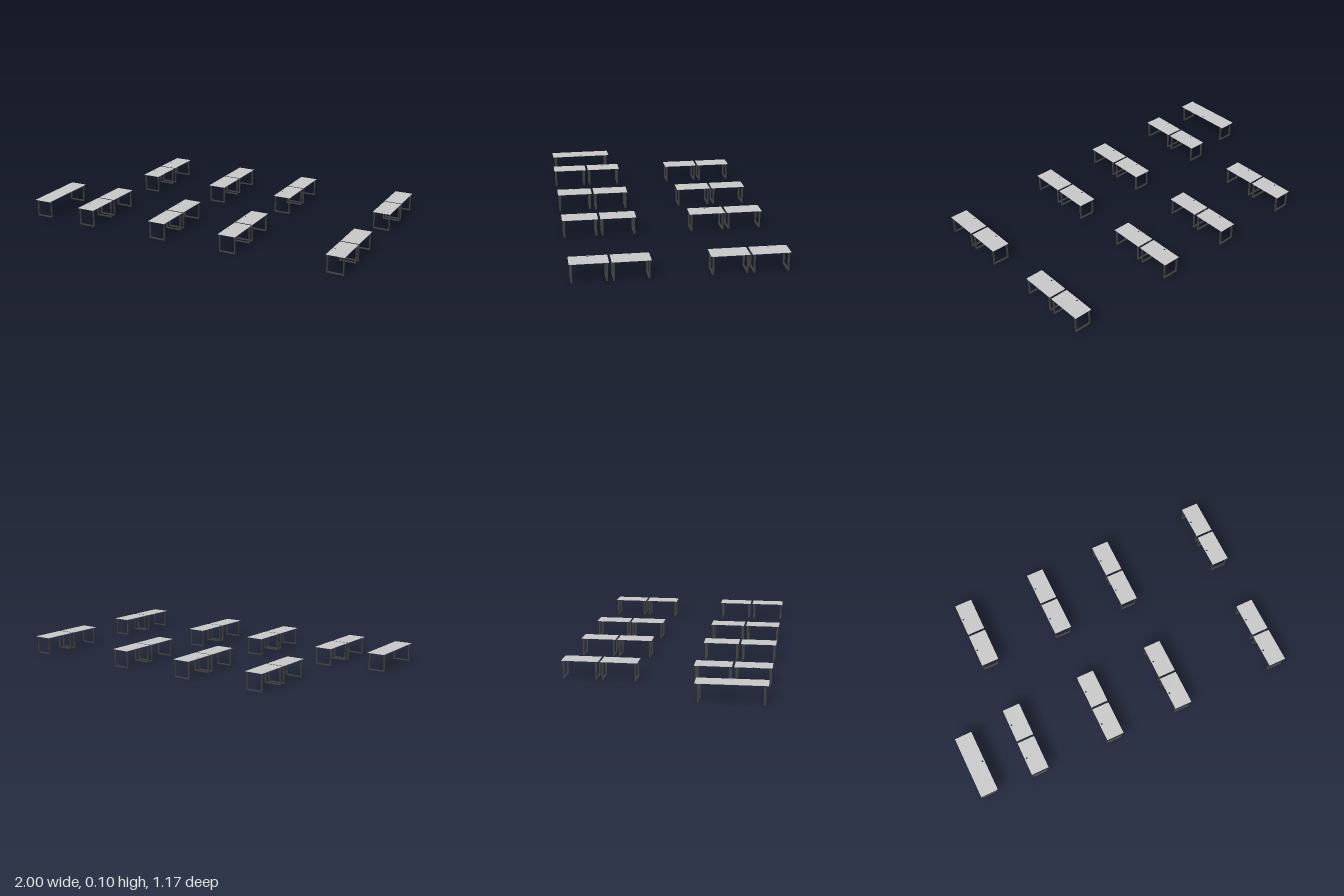
import * as THREE from 'three';

const HEIGHT = 0.105, TOP = 0.002;

const topGrey = new THREE.MeshStandardMaterial({ color: 0xc8c8c8 });
topGrey.name = 'tabletop grey';
const frameGrey = new THREE.MeshStandardMaterial({ color: 0x404040 });
frameGrey.name = 'frame dark grey';

// Thin slab with a cable hole near its -x edge
function tabletop(width, length) {
  const w = width / 2, l = length / 2;
  const shape = new THREE.Shape();
  shape.moveTo(-w, -l).lineTo(w, -l).lineTo(w, l).lineTo(-w, l).closePath();
  const hole = new THREE.Path();
  hole.absarc(-w + 0.012, 0, 0.005, 0, Math.PI * 2, true);
  shape.holes.push(hole);
  const geometry = new THREE.ExtrudeGeometry(shape, { depth: TOP, bevelEnabled: false, curveSegments: 12 });
  geometry.rotateX(-Math.PI / 2);
  geometry.translate(0, HEIGHT - TOP, 0);
  const mesh = new THREE.Mesh(geometry, topGrey);
  mesh.name = 'tabletop';
  return mesh;
}

// U-shaped leg frame: two uprights joined by a floor bar
function legFrame(width) {
  const w = width / 2, h = HEIGHT - TOP, bar = 0.006, depth = 0.01;
  const shape = new THREE.Shape();
  shape.moveTo(-w, 0).lineTo(w, 0).lineTo(w, h).lineTo(w - bar, h).lineTo(w - bar, bar);
  shape.lineTo(-w + bar, bar).lineTo(-w + bar, h).lineTo(-w, h).closePath();
  const geometry = new THREE.ExtrudeGeometry(shape, { depth, bevelEnabled: false });
  geometry.translate(0, 0, -depth / 2);
  const mesh = new THREE.Mesh(geometry, frameGrey);
  mesh.name = 'legFrame';
  return mesh;
}

function desk(name, width, length, legOffset) {
  const group = new THREE.Group();
  group.name = name;
  group.add(tabletop(width, length));
  for (const side of [-1, 1]) {
    const leg = legFrame(0.099);
    leg.position.z = side * legOffset;
    group.add(leg);
  }
  return group;
}

export function createModel() {
  const model = new THREE.Group();
  model.name = 'classroomDesks';

  // Four columns of desks, in pairs front and back
  for (const x of [-0.624, -0.139, 0.31, 0.947]) {
    for (const z of [-0.48, -0.26, 0.26, 0.48]) {
      const d = desk('desk', 0.106, 0.207, 0.092);
      d.position.set(x, 0, z);
      model.add(d);
    }
  }

  // Long desk facing the others, set slightly askew
  const long = desk('longDesk', 0.104, 0.382, 0.172);
  long.position.set(-0.945, 0, 0.387);
  long.rotation.y = Math.PI + 0.016;
  model.add(long);

  return model;
}
